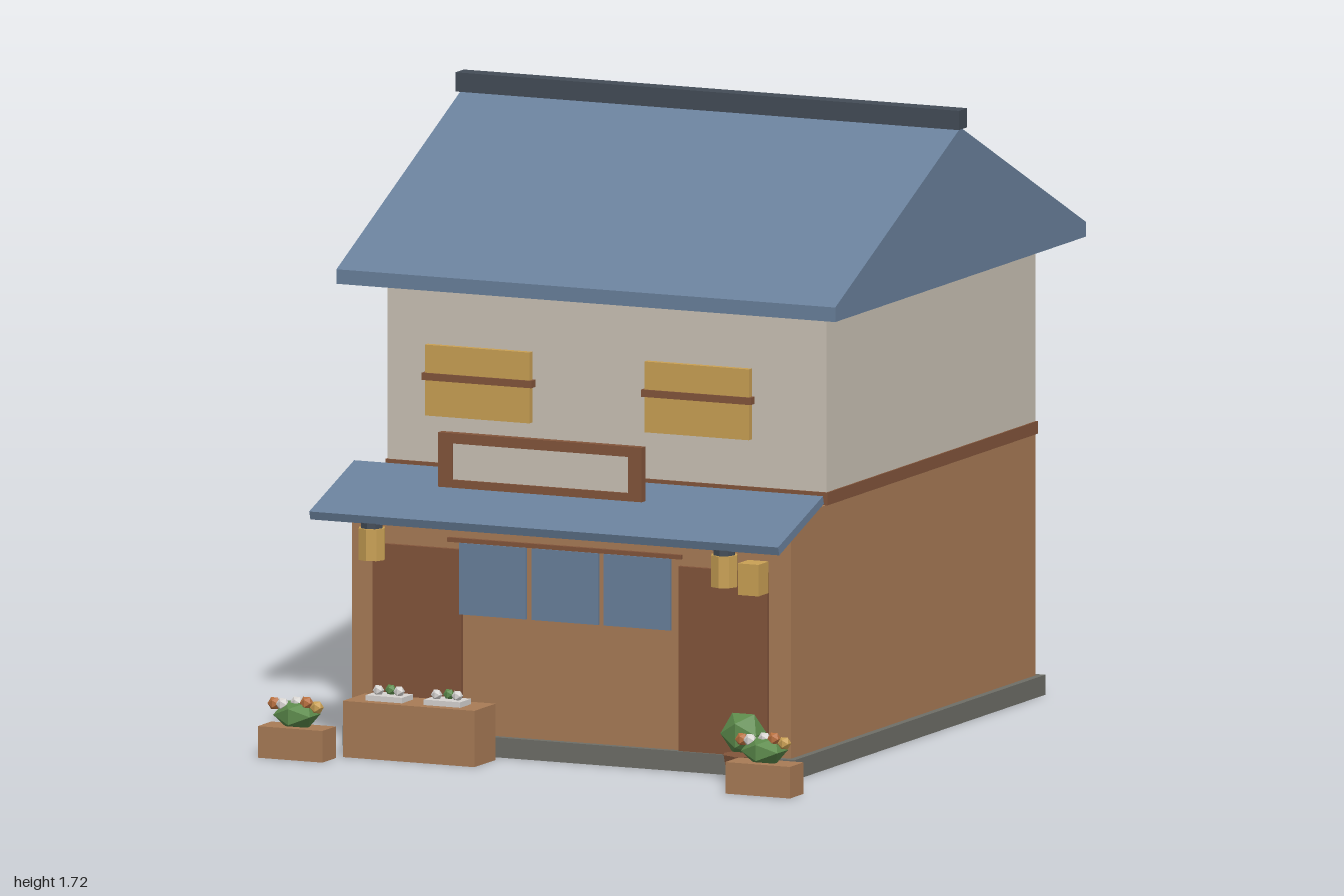
import * as THREE from 'three';

const COLORS = {
  timber: 0xa87b56, darkWood: 0x82553b, plaster: 0xcac2b5, blue: 0x69809b, stone: 0x6e6e67,
  ridge: 0x434c57, gold: 0xc9a054, leaf: 0x5c8a4b, petalWhite: 0xd6d3d0, petalOrange: 0xb8703f,
};

export function createModel() {
  const model = new THREE.Group();
  model.name = 'shopHouse';
  const mats = {};
  for (const [name, color] of Object.entries(COLORS)) {
    mats[name] = new THREE.MeshStandardMaterial({ color });
    mats[name].name = name;
  }

  const add = (name, geometry, mat, parent = model) => {
    const mesh = new THREE.Mesh(geometry, mats[mat]);
    mesh.name = name;
    parent.add(mesh);
    return mesh;
  };
  const group = (name) => {
    const g = new THREE.Group();
    g.name = name;
    model.add(g);
    return g;
  };
  // Box given by its limits on each axis
  const box = (name, mat, [x0, x1], [y0, y1], [z0, z1], parent) => {
    const g = new THREE.BoxGeometry(x1 - x0, y1 - y0, z1 - z0);
    g.translate((x0 + x1) / 2, (y0 + y1) / 2, (z0 + z1) / 2);
    return add(name, g, mat, parent);
  };
  // Side profile of [z, y] points, swept across the width
  const sweep = (name, mat, profile, width) => {
    const shape = new THREE.Shape(profile.map(([z, y]) => new THREE.Vector2(z, y)));
    const g = new THREE.ExtrudeGeometry(shape, { depth: width, bevelEnabled: false });
    g.translate(0, 0, -width / 2).rotateY(-Math.PI / 2);
    return add(name, g, mat);
  };
  // Faceted ball, optionally squashed
  const ball = (name, mat, r, x, y, z, parent, squash = 1) => {
    const g = new THREE.IcosahedronGeometry(r, 0);
    g.scale(1, squash, 1).translate(x, y, z);
    return add(name, g, mat, parent);
  };
  // Upright faceted cylinder standing on y0
  const drum = (name, mat, rTop, rBottom, x, [y0, y1], z, parent) => {
    const g = new THREE.CylinderGeometry(rTop, rBottom, y1 - y0, 8).toNonIndexed();
    g.computeVertexNormals();
    g.translate(x, (y0 + y1) / 2, z);
    return add(name, g, mat, parent);
  };

  // Main body
  box('foundation', 'stone', [-0.68, 0.68], [0, 0.055], [-0.89, 0.70]);
  box('groundFloorWalls', 'timber', [-0.66, 0.66], [0.055, 0.72], [-0.87, 0.68]);
  box('floorBand', 'darkWood', [-0.665, 0.665], [0.72, 0.755], [-0.873, 0.46]);
  box('upperFloorWalls', 'plaster', [-0.66, 0.66], [0.755, 1.25], [-0.87, 0.455]);

  // Gable roof, ridge and front awning
  sweep('roof', 'blue', [[0.59, 1.25], [0.59, 1.29], [-0.205, 1.668], [-1, 1.29], [-1, 1.25]], 1.5);
  box('ridgeBeam', 'ridge', [-0.757, 0.757], [1.665, 1.718], [-0.231, -0.179]);
  sweep('awning', 'blue', [[0.567, 0.743], [0.573, 0.765], [0.858, 0.666], [0.85, 0.643]], 1.41);

  // Upper windows with a crossbar, and dark door panels below
  for (const side of [-1, 1]) {
    const x = side * 0.33;
    const win = group(side > 0 ? 'leftWindow' : 'rightWindow');
    box('windowPane', 'gold', [x - 0.157, x + 0.157], [0.905, 1.10], [0.565, 0.583], win);
    box('windowBar', 'darkWood', [x - 0.165, x + 0.165], [1.003, 1.023], [0.563, 0.588], win);
    const d = side * 0.46;
    box('doorPanel', 'darkWood', [d - 0.133, d + 0.133], [0.055, 0.563], [0.675, 0.693]);
  }

  // Framed sign board
  const sign = group('signBoard');
  box('signPanel', 'plaster', [-0.267, 0.263], [0.787, 0.887], [0.856, 0.870], sign);
  for (const [y0, y1] of [[0.765, 0.787], [0.887, 0.915]]) {
    box('signRail', 'darkWood', [-0.308, 0.304], [y0, y1], [0.853, 0.877], sign);
  }
  for (const [x0, x1] of [[-0.308, -0.267], [0.263, 0.304]]) {
    box('signStile', 'darkWood', [x0, x1], [0.787, 0.887], [0.853, 0.877], sign);
  }

  // Entrance curtains on a rod
  const curtains = group('entranceCurtains');
  for (const x of [-0.218, 0, 0.217]) {
    box('curtain', 'blue', [x - 0.1, x + 0.1], [0.39, 0.587], [0.716, 0.724], curtains);
  }
  box('curtainRod', 'darkWood', [-0.353, 0.35], [0.588, 0.6], [0.714, 0.726], curtains);

  // Lanterns under the awning and a small lit box sign
  for (const x of [-0.53, 0.53]) {
    const lantern = group('lantern');
    drum('lanternShade', 'gold', 0.038, 0.038, x, [0.543, 0.63], 0.83, lantern);
    drum('lanternCap', 'ridge', 0.031, 0.031, x, [0.63, 0.645], 0.83, lantern);
  }
  box('boxSign', 'gold', [0.54, 0.602], [0.51, 0.597], [0.70, 0.765]);

  // Corner planters with a low bush and a row of flowers
  const flowers = [
    [-0.07, 0.145, 0.935, 'petalOrange'], [-0.035, 0.148, 0.956, 'petalWhite'],
    [0, 0.152, 0.94, 'petalWhite'], [0.033, 0.155, 0.948, 'petalOrange'], [0.065, 0.145, 0.95, 'gold'],
  ];
  for (const side of [-1, 1]) {
    const planter = group(side > 0 ? 'leftPlanter' : 'rightPlanter');
    const x = side * 0.703;
    box('planterBox', 'timber', [x - 0.097, x + 0.097], [0, 0.087], [0.897, 0.983], planter);
    ball('planterBush', 'leaf', 0.065, x, 0.12, 0.94, planter, 0.65);
    for (const [dx, y, z, mat] of flowers) ball('flower', mat, 0.019, x + dx, y, z, planter);
  }

  // Display bench with two trays of seedlings
  const bench = group('displayBench');
  box('benchBox', 'timber', [-0.595, -0.2], [0, 0.155], [0.74, 0.875], bench);
  for (const x of [-0.487, -0.312]) {
    box('tray', 'petalWhite', [x - 0.055, x + 0.055], [0.155, 0.17], [0.775, 0.845], bench);
    ball('seedling', 'petalWhite', 0.016, x - 0.03, 0.181, 0.815, bench);
    ball('seedling', 'leaf', 0.016, x, 0.182, 0.80, bench);
    ball('seedling', 'petalWhite', 0.016, x + 0.03, 0.181, 0.81, bench);
  }

  // Potted shrub beside the door
  const shrub = group('pottedShrub');
  drum('shrubPot', 'darkWood', 0.055, 0.042, 0.565, [0, 0.077], 0.787, shrub);
  ball('shrubLeaves', 'leaf', 0.063, 0.567, 0.135, 0.787, shrub);

  return model;
}
